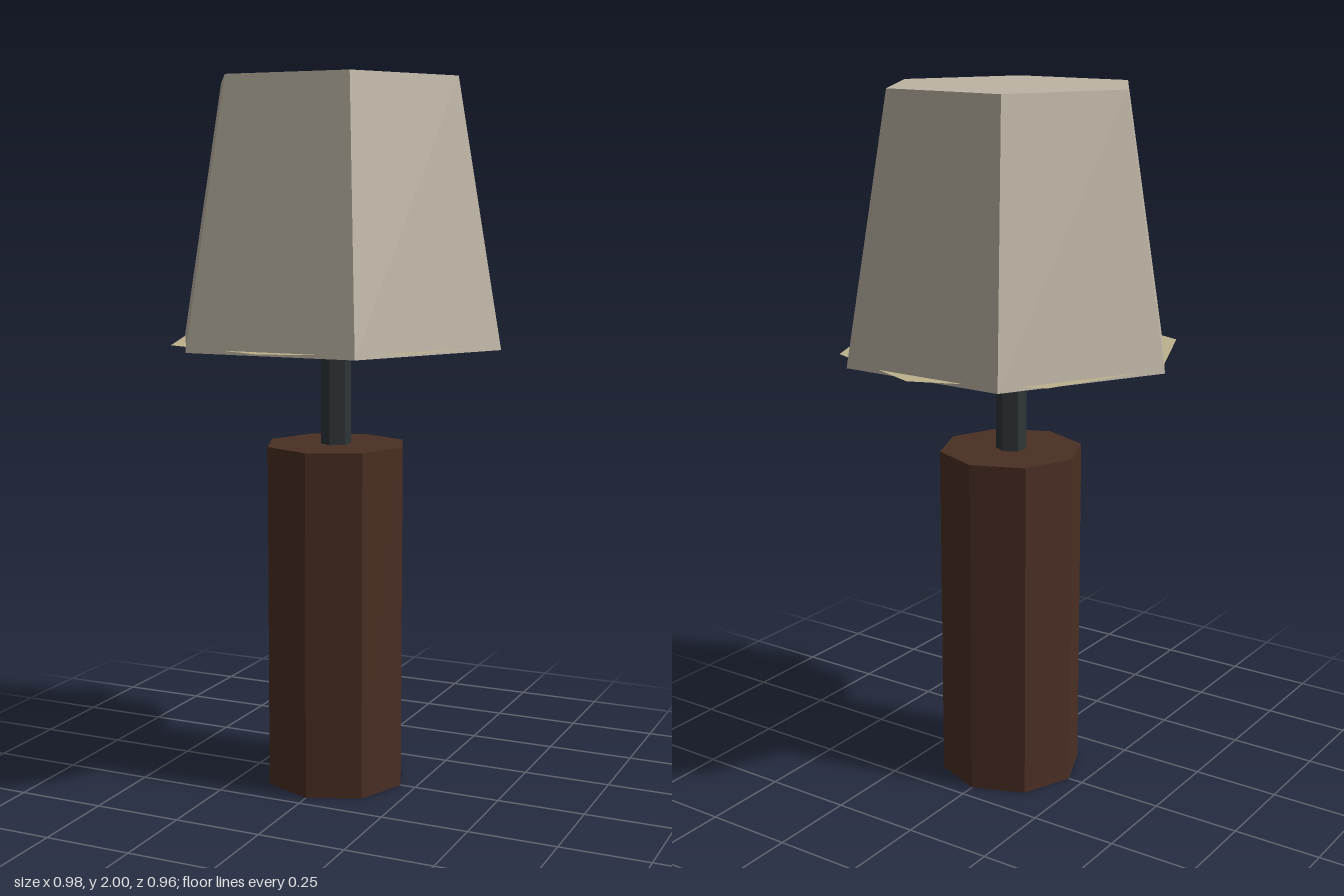
import * as THREE from 'three';

const material = (color) =>
  new THREE.MeshStandardMaterial({ color, flatShading: true, side: THREE.DoubleSide });

// Faceted tube, open below, with an optional flat lid
function prism(name, rTop, rBottom, y0, y1, sides, mat, turn = 0, lid = true) {
  const part = new THREE.Group();
  part.name = name;
  const wall = new THREE.Mesh(
    new THREE.CylinderGeometry(rTop, rBottom, y1 - y0, sides, 1, true), mat);
  wall.name = name + 'Wall';
  wall.position.y = (y0 + y1) / 2;
  part.add(wall);
  if (lid) {
    const top = disc(name + 'Top', rTop, y1, sides, mat);
    part.add(top);
  }
  part.rotation.y = turn;
  return part;
}

// Horizontal polygon facing up, with a corner on the z axis
function disc(name, r, y, sides, mat) {
  const geometry = new THREE.CircleGeometry(r, sides, Math.PI / 2).rotateX(-Math.PI / 2);
  const mesh = new THREE.Mesh(geometry, mat);
  mesh.name = name;
  mesh.position.y = y;
  return mesh;
}

export function createModel() {
  const lamp = new THREE.Group();
  lamp.name = 'tableLamp';

  // Octagonal wooden base, hollow underneath
  lamp.add(prism('base', 0.205, 0.205, 0, 0.985, 8, material(0x4a2f23)));

  // Slim hexagonal stem between base and shade
  lamp.add(prism('stem', 0.043, 0.043, 0.98, 1.28, 6, material(0x2e3438), 0, false));

  // Six-sided tapered shade, corners on the x axis
  lamp.add(prism('shade', 0.36, 0.49, 1.27, 2, 6, material(0xbdb4a4), Math.PI / 2));

  // Octagonal light panel closing the shade, its corners poking out
  lamp.add(disc('lightPanel', 0.48, 1.28, 8, material(0xbcb18c)));

  return lamp;
}
